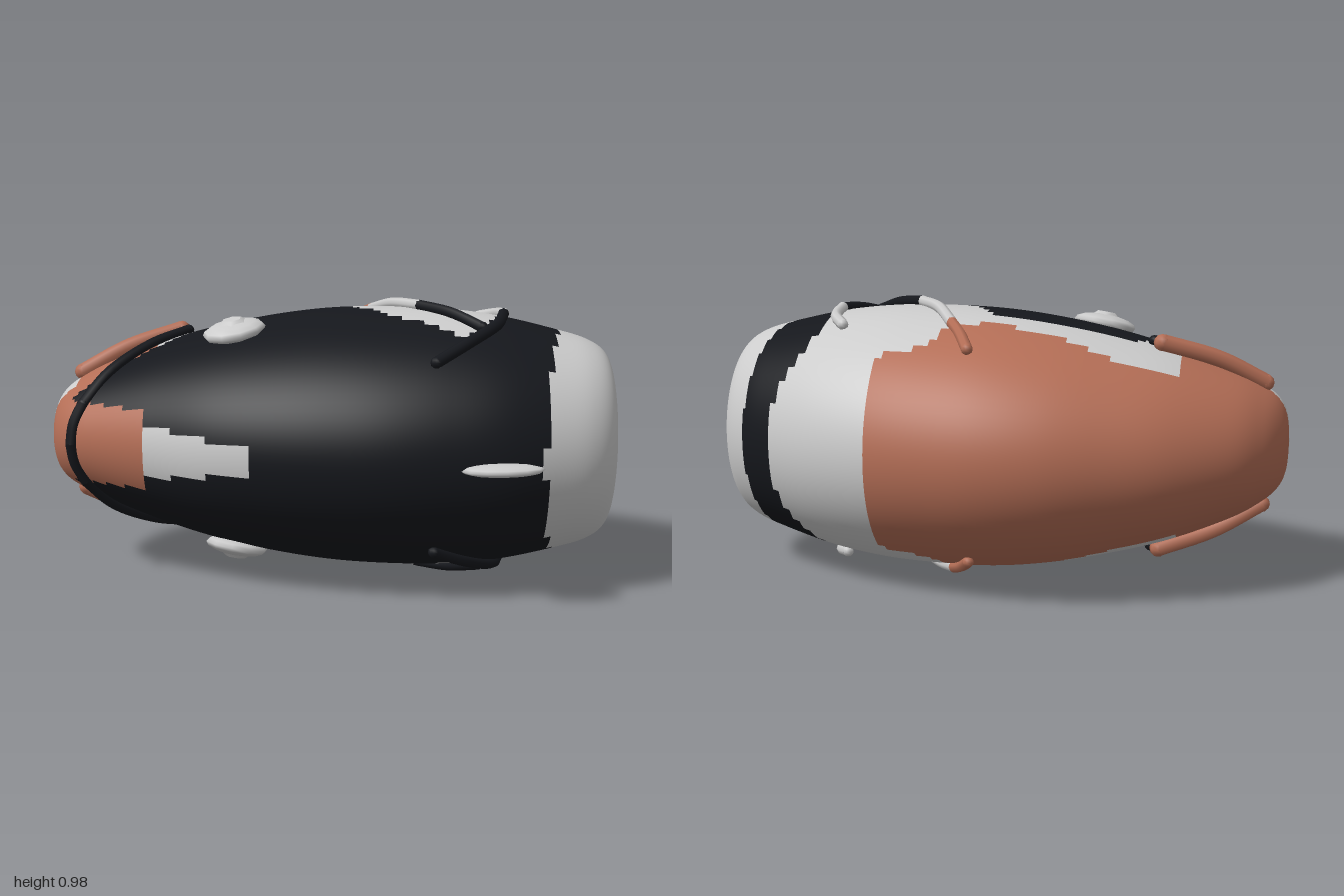
import * as THREE from 'three';

const MID = 0.485; // height of the horizontal mirror plane
const V = (x, y, z) => new THREE.Vector3(x, y, z);
const mats = {
  grey: new THREE.MeshStandardMaterial({ color: 0xcccccc }),
  black: new THREE.MeshStandardMaterial({ color: 0x15171c }),
  orange: new THREE.MeshStandardMaterial({ color: 0xb46e56 }),
};

// Body sections: x, back z, front z, half height
const rows = [
  [-1, 0.0, 0.0, 0], [-0.99, -0.12, 0.09, 0.1], [-0.96, -0.21, 0.15, 0.16],
  [-0.9, -0.31, 0.205, 0.205], [-0.8, -0.41, 0.26, 0.255], [-0.6, -0.53, 0.36, 0.33],
  [-0.4, -0.605, 0.45, 0.385], [-0.2, -0.66, 0.51, 0.425], [0, -0.675, 0.55, 0.45],
  [0.2, -0.65, 0.57, 0.457], [0.4, -0.6, 0.562, 0.453], [0.6, -0.52, 0.53, 0.43],
  [0.8, -0.405, 0.455, 0.385], [0.9, -0.335, 0.4, 0.355], [0.96, -0.275, 0.335, 0.315],
  [0.985, -0.22, 0.26, 0.255], [0.997, -0.1, 0.14, 0.14], [1, 0.02, 0.02, 0],
];
const curveA = new THREE.CatmullRomCurve3(rows.map(r => V(r[0], (r[1] + r[2]) / 2, (r[2] - r[1]) / 2)), false, 'catmullrom');
const curveB = new THREE.CatmullRomCurve3(rows.map(r => V(r[0], r[3], 0)), false, 'catmullrom');
function section(t) {
  const a = curveA.getPoint(t), b = curveB.getPoint(t);
  return { x: a.x, cz: a.y, rz: Math.max(a.z, 0), ry: Math.max(b.y, 0) };
}

// Point on the upper (s = 1) or lower (s = -1) skin at x, z, raised by lift
function onSkin(x, z, s, lift) {
  let lo = 0, hi = 1;
  for (let k = 0; k < 30; k++) {
    const m = (lo + hi) / 2;
    if (section(m).x < x) lo = m; else hi = m;
  }
  const { cz, rz, ry } = section(lo);
  const q = Math.min(1, Math.abs((z - cz) / rz));
  return V(x, MID + s * (ry * Math.sqrt(1 - q * q) + lift), z);
}

// Piecewise-linear lookup
function lookup(table, x) {
  for (let i = 1; i < table.length; i++) {
    const [x0, y0] = table[i - 1], [x1, y1] = table[i];
    if (x <= x1) return y0 + (y1 - y0) * Math.max(0, (x - x0) / (x1 - x0));
  }
  return table[table.length - 1][1];
}
const orangeEdge = [[-1, 0.12], [-0.9, 0.12], [-0.64, 0.02], [-0.62, -0.32], [-0.45, -0.37],
  [-0.2, -0.3], [0, -0.27], [0.14, -0.28], [0.2, -0.42], [0.36, -0.42], [0.4, -0.7]];
const greyEdge = [[-0.62, 0.02], [-0.45, -0.18], [0, -0.19], [0.06, -0.1], [0.2, 0.1],
  [0.45, 0.27], [0.52, 0.24], [0.6, 0], [0.65, -0.3], [0.8, -0.46]];

// Colour patch at a point of the skin
function patchAt(x, y, z, cz) {
  const h = Math.abs(y - MID);
  if (x > 0.72 + (0.48 - z) * 0.19) return 'endCap';
  if (x < -0.91 && Math.abs(z) < 0.06) return 'tipPatch';
  if (z < lookup(orangeEdge, x)) return 'orangeBack';
  if (z > cz && x < -0.62 && h < 0.14) return 'orangeBack';
  if (z > 0 && x < -0.25 && x > -0.63 && h < 0.09 + (x + 0.62) * -0.12) return 'greyBand';
  if (x > -0.62 && z < lookup(greyEdge, x)) return 'greyBand';
  return 'blackFront';
}

function buildBody(group) {
  const N = 136, M = 96, pos = [], all = [];
  const bins = { endCap: [], tipPatch: [], orangeBack: [], greyBand: [], blackFront: [] };
  for (let i = 0; i <= N; i++) {
    const { x, cz, rz, ry } = section(i / N);
    for (let j = 0; j < M; j++) {
      const a = (j / M) * Math.PI * 2;
      pos.push(x, MID + ry * Math.cos(a), cz + rz * Math.sin(a));
    }
  }
  for (let i = 0; i < N; i++) {
    const { x, cz, rz, ry } = section((i + 0.5) / N);
    for (let j = 0; j < M; j++) {
      const k = (j + 1) % M, m = ((j + 0.5) / M) * Math.PI * 2;
      const a = i * M + j, b = i * M + k, c = a + M, d = b + M;
      const quad = [a, b, c, b, d, c];
      all.push(...quad);
      bins[patchAt(x, MID + ry * Math.cos(m), cz + rz * Math.sin(m), cz)].push(...quad);
    }
  }
  // One set of smooth normals shared by all patches
  const full = new THREE.BufferGeometry();
  full.setAttribute('position', new THREE.Float32BufferAttribute(pos, 3));
  full.setIndex(all);
  full.computeVertexNormals();
  const colour = { endCap: 'grey', tipPatch: 'grey', greyBand: 'grey', orangeBack: 'orange', blackFront: 'black' };
  for (const name in bins) {
    const geo = full.clone();
    geo.setIndex(bins[name]);
    add(group, geo.toNonIndexed(), colour[name], name);
  }
}

function add(group, geo, colour, name) {
  const mesh = new THREE.Mesh(geo, mats[colour]);
  mesh.name = name;
  group.add(mesh);
  return mesh;
}

// Rod with closed ends through a list of points
function rod(group, pts, r, colour, name) {
  const curve = new THREE.CatmullRomCurve3(pts);
  add(group, new THREE.TubeGeometry(curve, 16, r, 8), colour, name);
  for (const p of [pts[0], pts[pts.length - 1]]) {
    add(group, new THREE.SphereGeometry(r, 8, 6), colour, name + 'End').position.copy(p);
  }
}

// Rod following the skin, given as x, z pairs
function skinRod(group, s, xz, colour, name) {
  rod(group, xz.map(([x, z]) => onSkin(x, z, s, 0.012)), 0.02, colour, name);
}

export function createModel() {
  const model = new THREE.Group();
  const body = new THREE.Group();
  body.name = 'body';
  buildBody(body);
  model.add(body);

  // Upper and lower details are mirrored
  for (const s of [1, -1]) {
    const side = new THREE.Group();
    side.name = s > 0 ? 'upperDetails' : 'lowerDetails';
    model.add(side);

    // Long slanted rod and curved rod, changing colour along their length
    skinRod(side, s, [[0.06, -0.45], [0.1, -0.37], [0.14, -0.3]], 'orange', 'slantedRodBack');
    skinRod(side, s, [[0.14, -0.3], [0.22, -0.14], [0.31, 0]], 'grey', 'slantedRodMiddle');
    skinRod(side, s, [[0.31, 0], [0.42, 0.11], [0.52, 0.22]], 'black', 'slantedRodFront');
    skinRod(side, s, [[0.54, -0.24], [0.59, -0.15], [0.61, 0]], 'grey', 'curvedRodBack');
    skinRod(side, s, [[0.61, 0], [0.57, 0.19], [0.48, 0.31], [0.36, 0.41]], 'black', 'curvedRodFront');

    // Forked strips at the narrow end
    const P = (x, h, z) => V(x, MID + s * h, z);
    rod(side, [P(-0.56, 0.36, -0.18), P(-0.75, 0.3, -0.115), P(-0.91, 0.215, -0.06)], 0.03, 'orange', 'tipStrip');
    skinRod(side, s, [[-0.53, -0.14], [-0.65, -0.03], [-0.78, 0.1], [-0.86, 0.18]], 'black', 'tipRod');
    rod(side, [onSkin(-0.86, 0.18, s, 0.012), P(-0.89, 0.07, 0.2), P(-0.9, 0, 0.212)], 0.02, 'black', 'tipRodFront');

    // Round stud with a small centre boss
    const stud = new THREE.Group();
    stud.name = 'stud';
    const disc = add(stud, new THREE.SphereGeometry(1, 10, 8), 'grey', 'studDisc');
    disc.scale.set(0.112, 0.034, 0.112);
    const boss = add(stud, new THREE.CylinderGeometry(0.035, 0.06, 0.02, 6), 'grey', 'studBoss');
    boss.position.y = 0.032;
    stud.position.copy(onSkin(-0.335, 0.11, s, 0.012));
    const normal = V(-0.17, s, 0.16).normalize();
    stud.quaternion.setFromUnitVectors(V(0, 1, 0), normal);
    side.add(stud);
  }

  // Thin fin on the front
  const fin = add(model, new THREE.SphereGeometry(1, 12, 8), 'grey', 'frontFin');
  fin.scale.set(0.136, 0.02, 0.058);
  fin.position.set(0.57, 0.488, 0.597);
  fin.rotation.y = 0.16;
  return model;
}
